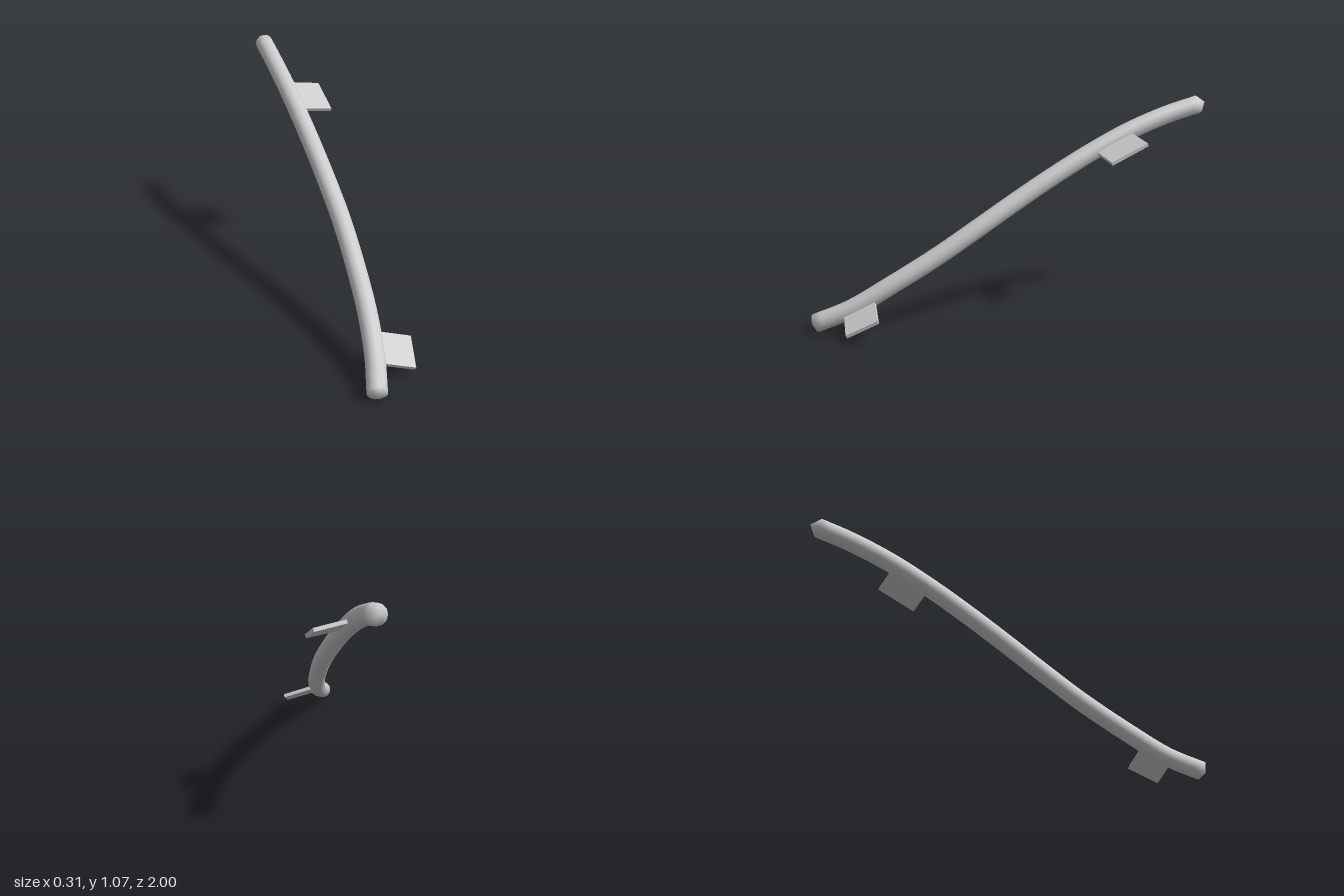
import * as THREE from 'three';
import { mergeVertices } from 'three/addons/utils/BufferGeometryUtils.js';

const material = new THREE.MeshStandardMaterial({ color: 0xcccccc, side: THREE.DoubleSide });

// Round bar swept along a curve, with a shallow conical point closing each end
function makeBar(curve, radius, segments, sides, startTip, endTip) {
  const tube = new THREE.TubeGeometry(curve, segments, radius, sides, false);
  const positions = Array.from(tube.attributes.position.array);
  const index = Array.from(tube.index.array);
  const ring = sides + 1;
  const start = positions.length / 3;
  const end = start + 1;
  positions.push(...curve.getPointAt(0).addScaledVector(curve.getTangentAt(0), -startTip).toArray());
  positions.push(...curve.getPointAt(1).addScaledVector(curve.getTangentAt(1), endTip).toArray());
  const first = [], last = [];
  for (let i = 0; i < sides; i++) {
    first.push(start, i, i + 1);
    last.push(end, segments * ring + i + 1, segments * ring + i);
  }
  // Make both caps face outwards
  const faceAway = (tris, direction) => {
    const p = tris.slice(0, 3).map((k) => new THREE.Vector3().fromArray(positions, k * 3));
    const n = p[1].clone().sub(p[0]).cross(p[2].clone().sub(p[0]));
    return n.dot(direction) < 0 ? tris.reverse() : tris;
  };
  index.push(...faceAway(first, curve.getTangentAt(0).negate()), ...faceAway(last, curve.getTangentAt(1)));
  const geometry = new THREE.BufferGeometry();
  geometry.setAttribute('position', new THREE.Float32BufferAttribute(positions, 3));
  geometry.setIndex(index);
  const welded = mergeVertices(geometry, 1e-5);
  welded.computeVertexNormals();
  return welded;
}

// Thin plate whose top face has the corners: inner back, outer back, inner front, outer front
function makePlate(corners, thickness) {
  const [ib, ob, inf, of] = corners.map((c) => new THREE.Vector3(...c));
  const down = ob.clone().sub(ib).cross(inf.clone().sub(ib)).normalize();
  if (down.y > 0) down.negate();
  const geometry = new THREE.BoxGeometry(1, 1, 1);
  const p = geometry.attributes.position;
  for (let i = 0; i < p.count; i++) {
    const u = p.getX(i) + 0.5, v = p.getZ(i) + 0.5;
    const q = ib.clone().lerp(ob, u).lerp(inf.clone().lerp(of, u), v);
    q.addScaledVector(down, (0.5 - p.getY(i)) * thickness);
    p.setXYZ(i, q.x, q.y, q.z);
  }
  geometry.computeVertexNormals();
  return geometry;
}

export function createModel() {
  const group = new THREE.Group();
  const add = (name, geometry) => {
    const mesh = new THREE.Mesh(geometry, material);
    mesh.name = name;
    group.add(mesh);
  };

  // Centre line of the gently S-shaped bar, from the low front end to the high back end
  const path = new THREE.CatmullRomCurve3([
    [-0.11, 0.046, 0.98],
    [-0.062, 0.115, 0.82],
    [-0.03, 0.22, 0.64],
    [-0.01, 0.36, 0.40],
    [-0.006, 0.485, 0.2],
    [-0.014, 0.607, 0],
    [-0.025, 0.722, -0.2],
    [-0.037, 0.827, -0.4],
    [-0.048, 0.918, -0.6],
    [-0.055, 0.988, -0.8],
    [-0.056, 1.03, -0.96],
  ].map((p) => new THREE.Vector3(...p)));
  add('bar', makeBar(path, 0.046, 48, 12, 0.02, 0.04));

  // Flat mounting tabs on the left side of the bar
  add('upperTab', makePlate([
    [-0.04, 0.917, -0.58], [0.143, 0.885, -0.607],
    [-0.03, 0.833, -0.398], [0.155, 0.803, -0.42],
  ], 0.018));
  add('lowerTab', makePlate([
    [-0.03, 0.174, 0.708], [0.146, 0.121, 0.72],
    [-0.05, 0.1, 0.851], [0.114, 0.052, 0.865],
  ], 0.018));

  return group;
}
